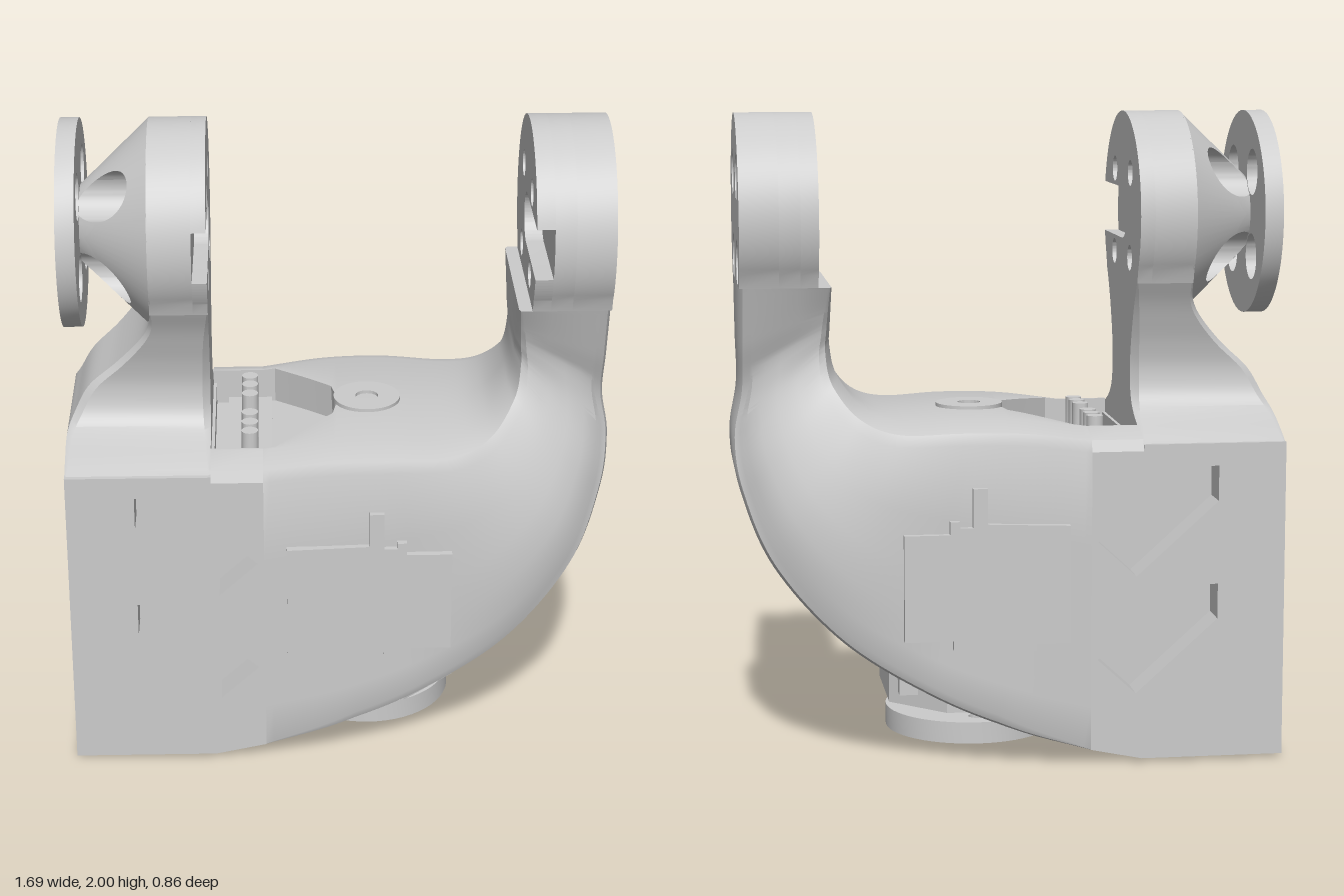
import * as THREE from 'three';
import { toCreasedNormals } from 'three/addons/utils/BufferGeometryUtils.js';

const material = new THREE.MeshStandardMaterial({ color: 0xcccccc });
const HEAD_Y = 1.68, HEAD_R = 0.32, BOLT = 0.132;

export function createModel() {
  const group = new THREE.Group();
  const add = (name, geo) => {
    const mesh = new THREE.Mesh(toCreasedNormals(geo, 0.5), material);
    mesh.name = name;
    group.add(mesh);
  };

  const poly = (pts) => new THREE.Shape(pts.map(([x, y]) => new THREE.Vector2(x, y)));
  const rect = (x0, x1, y0, y1) => poly([[x0, y0], [x1, y0], [x1, y1], [x0, y1]]);
  const circle = (x, y, r) => new THREE.Shape().absarc(x, y, r, 0, Math.PI * 2);
  const withHoles = (shape, holes) => { shape.holes.push(...holes); return shape; };
  const extrude = (shape, depth) => new THREE.ExtrudeGeometry(shape, { depth, bevelEnabled: false, curveSegments: 28 });
  // Plates facing z, x (shape drawn in z, y) and y (shape drawn in x, z)
  const plateZ = (name, s, z0, z1) => add(name, extrude(s, z1 - z0).translate(0, 0, z0));
  const plateX = (name, s, x0, x1) => add(name, extrude(s, x1 - x0).rotateY(-Math.PI / 2).translate(x1, 0, 0));
  const plateY = (name, s, y0, y1) => add(name, extrude(s, y1 - y0).rotateX(Math.PI / 2).translate(0, y1, 0));
  const box = (name, x0, x1, y0, y1, z0, z1) => add(name, new THREE.BoxGeometry(x1 - x0, y1 - y0, z1 - z0)
    .translate((x0 + x1) / 2, (y0 + y1) / 2, (z0 + z1) / 2));

  // Skin through closed rings of points, with an optional cap on the last ring
  const loft = (name, rings, cap) => {
    const n = rings[0].length, pos = rings.flat().flatMap((p) => p.toArray()), idx = [];
    for (let j = 0; j < rings.length - 1; j++) for (let i = 0; i < n; i++) {
      const k = (i + 1) % n, a = j * n + i, b = j * n + k;
      idx.push(a, b + n, b, a, a + n, b + n);
    }
    if (cap) {
      const last = rings[rings.length - 1], c = new THREE.Vector3(), o = (rings.length - 1) * n;
      last.forEach((p) => c.addScaledVector(p, 1 / n));
      pos.push(c.x, c.y, c.z);
      for (let i = 0; i < n; i++) idx.push(rings.length * n, o + (i + 1) % n, o + i);
    }
    const g = new THREE.BufferGeometry();
    g.setAttribute('position', new THREE.Float32BufferAttribute(pos, 3));
    g.setIndex(idx);
    add(name, g);
  };

  // Curved hull: matching stations (x, y, half width) on the outer and inner edge
  const curve = (pts) => new THREE.CatmullRomCurve3(pts.map((p) => new THREE.Vector3(...p)), false, 'catmullrom');
  const outer = curve([[-0.24, 0.045, 0.4], [0, 0.115, 0.41], [0.25, 0.225, 0.405], [0.52, 0.395, 0.37], [0.725, 0.62, 0.3],
    [0.82, 0.84, 0.21], [0.843, 1.0, 0.15], [0.82, 1.15, 0.16], [0.82, 1.3, 0.21], [0.82, 1.48, 0.265]]);
  const inner = curve([[-0.24, 1.045, 0.4], [-0.04, 1.07, 0.41], [0.15, 1.075, 0.41], [0.34, 1.07, 0.385], [0.45, 1.11, 0.32],
    [0.52, 1.2, 0.24], [0.54, 1.29, 0.205], [0.54, 1.35, 0.21], [0.54, 1.41, 0.232], [0.54, 1.48, 0.265]]);
  // Half widths of the lower opening and of the tray in the top
  const opening = (x) => x < -0.2 || x > 0.665 ? 0
    : x < 0.09 ? Math.sqrt(0.31 ** 2 - (x - 0.09) ** 2) : x < 0.28 ? 0.31 : 0.31 * (0.665 - x) / 0.385;
  const tray = (x) => x > -0.01 ? 0 : Math.min(0.29, 0.09 + 0.2 * (-0.01 - x) / 0.19);
  const hull = [];
  for (let j = 0; j <= 90; j++) {
    const o = outer.getPoint(j / 90), i = inner.getPoint(j / 90), c = 0.002 + 0.033 * Math.min(1, j / 12);
    const len = Math.hypot(i.x - o.x, i.y - o.y);
    // The flanks bulge near the spine; the top edges are rounded off towards the arm
    const bulge = Math.max(0, Math.sin(Math.PI * (j / 90 - 0.22) / 0.6));
    const side = (f, b) => [o.z + (i.z - o.z) * f + bulge * b, len * f];
    const k = 0.15 + 0.85 * Math.min(1, (90 - j) / 40);
    const h = Math.min(opening(o.x), o.z - c - 0.01), t = tray(i.x);
    const d = h > 0 ? 0.3 : 0, e = t > 0 ? 0.115 : 0;
    const half = [[0, d], [h, d], [h, 0], [o.z - c, 0], [o.z - c * 0.3, c * 0.3], [o.z, c],
      side(0.14, 0.025), side(0.28, 0.042), side(0.45, 0.045), side(0.65, 0.028),
      [i.z, len - 0.065 * k], [i.z - 0.015 * k, len - 0.03 * k], [i.z - 0.1 * k, len], [t, len], [t, len - e], [0, len - e]];
    const ring = [...half, ...half.slice(1, -1).reverse().map(([z, s]) => [-z, s])];
    hull.push(ring.map(([z, s]) => new THREE.Vector3(o.x + (i.x - o.x) * s / len, o.y + (i.y - o.y) * s / len, z)));
  }
  loft('curvedHull', hull, true);

  // Square end of the body: side walls with slanted slots around a core
  const slot = (dy) => poly([[-0.635, 0.93], [-0.52, 0.93], [-0.26, 0.7], [-0.38, 0.59], [-0.635, 0.82]].map(([x, y]) => [x, y + dy]));
  const wall = () => withHoles(poly([[-0.8, 0.08], [-0.4, 0.08], [-0.4, 0.012], [-0.24, 0.045], [-0.24, 0.98],
    [-0.4, 0.98], [-0.4, 1.0], [-0.8, 1.0]]), [slot(0), slot(-0.37)]);
  plateZ('leftSideWall', wall(), 0.29, 0.4);
  plateZ('rightSideWall', wall(), -0.4, -0.29);
  for (const s of [-1, 1]) plateX('trayEdge', poly([[s * 0.29, 0.98], [s * 0.4, 0.98], [s * 0.385, 1.015],
    [s * 0.3, 1.045], [s * 0.29, 1.045]]), -0.4, -0.24);
  plateZ('bodyCore', poly([[-0.8, 0.08], [-0.4, 0.08], [-0.4, 0.012], [-0.24, 0.045], [-0.24, 0.93],
    [-0.39, 0.93], [-0.39, 1.0], [-0.8, 1.0]]), -0.29, 0.29);
  plateY('floorPlate', withHoles(rect(-0.845, -0.4, -0.4, 0.4),
    [circle(-0.7, -0.29, 0.045), circle(-0.7, 0.29, 0.045)]), 0.012, 0.08);
  plateX('endFrame', withHoles(rect(-0.4, 0.4, 0.08, 1.0), [rect(-0.355, 0.355, 0.1, 0.96)]), -0.845, -0.8);
  box('endPanel', -0.835, -0.79, 0.115, 0.925, -0.335, 0.335);
  for (const s of [-1, 1]) box('endPanelTab', -0.835, -0.79, 0.9, 0.95, s * 0.25 - 0.06, s * 0.25 + 0.06);

  // Shoulder and neck of the arm at the square end: y, outer x, half width
  const shoulder = curve([[0.99, -0.845, 0.4], [1.025, -0.845, 0.34], [1.07, -0.843, 0.24], [1.12, -0.82, 0.19], [1.2, -0.775, 0.175],
    [1.28, -0.69, 0.187], [1.36, -0.62, 0.212], [1.42, -0.585, 0.235], [1.48, -0.575, 0.265]]);
  loft('shoulder', shoulder.getPoints(40).map(({ x: y, y: x, z: w }, j) => {
    const c = 0.004 + 0.02 * Math.sin(Math.PI * j / 40);
    return [[-0.4, w - c], [-0.4 - c, w], [x + c, w], [x, w - c], [x, c - w], [x + c, -w], [-0.4 - c, -w], [-0.4, c - w]]
      .map(([px, pz]) => new THREE.Vector3(px, y, pz));
  }), true);

  // Round arm heads, drawn in z, y; the inner layer has a horn slot open to the front
  const bolts = (r) => [[1, 1], [1, -1], [-1, 1], [-1, -1]].map(([a, b]) => circle(a * BOLT, HEAD_Y + b * BOLT, r));
  const head = (slotted, holeR, centre) => {
    const s = new THREE.Shape().moveTo(-0.265, 1.48).lineTo(0.265, 1.48);
    const a = Math.asin(0.08 / HEAD_R);
    s.absarc(0, HEAD_Y, HEAD_R, -Math.PI / 6, slotted ? -a : Math.PI * 7 / 6);
    if (slotted) {
      s.lineTo(0, HEAD_Y - 0.08);
      s.absarc(0, HEAD_Y, 0.08, -Math.PI / 2, Math.PI / 2, true);
      s.absarc(0, HEAD_Y, HEAD_R, a, Math.PI * 7 / 6);
    }
    return withHoles(s, [...bolts(holeR), ...(centre ? [circle(0, HEAD_Y, centre)] : [])]);
  };
  plateX('rightHeadInner', head(true, 0.04), -0.445, -0.4);
  plateX('rightHeadOuter', head(false, 0.04, 0.04), -0.576, -0.445);
  plateX('leftHeadInner', head(true, 0.042), 0.58, 0.635);
  plateX('leftHeadMiddle', head(false, 0.042), 0.635, 0.7);
  plateX('leftHeadOuter', head(false, 0.072), 0.7, 0.82);

  // Cone pierced by four bolt bores: a core inside the bores and a skirt outside them
  const BORE = 0.077, D = BOLT * Math.SQRT2, tangent = Math.asin(BORE / D), BASE = -0.572;
  const coneX = (r) => Math.max(-0.79, -0.575 - 0.215 * (HEAD_R - r) / (HEAD_R - 0.115));
  const core = [], skirt = [];
  for (let k = 0; k <= 4 * 28; k++) {
    const u = k % 28 - 14;
    // Angles crowd towards the tangents of each bore
    const delta = Math.abs(u) <= 10 ? tangent * Math.sin(u / 10 * Math.PI / 2)
      : Math.sign(u) * (tangent + (Math.PI / 4 - tangent) * (Math.abs(u) - 10) / 4);
    const angle = Math.floor(k / 28) * Math.PI / 2 + Math.PI / 4 + delta;
    const root = Math.sqrt(Math.max(0, BORE ** 2 - (D * Math.sin(delta)) ** 2));
    const near = D * Math.cos(delta) - root, far = D * Math.cos(delta) + root;
    const place = ([r, x]) => new THREE.Vector3(x, HEAD_Y - r * Math.sin(angle), r * Math.cos(angle));
    core.push([[0.06, -0.79], [Math.min(near, 0.115), -0.79], [near, coneX(near)], [near, BASE], [0.06, BASE]].map(place));
    skirt.push([[far, coneX(far)], [HEAD_R, -0.575], [HEAD_R, BASE], [far, BASE]].map(place));
  }
  loft('coneCore', core, false);
  loft('coneSkirt', skirt, false);
  plateX('flange', withHoles(circle(0, HEAD_Y, HEAD_R), [...bolts(0.072), circle(0, HEAD_Y, 0.05)]), -0.845, -0.787);

  // Raised cover panels on both sides
  const cover = () => poly([[-0.17, 0.395], [0.13, 0.395], [0.13, 0.38], [0.19, 0.38], [0.19, 0.41], [0.34, 0.41], [0.34, 0.74],
    [0.2, 0.74], [0.2, 0.78], [0.17, 0.78], [0.17, 0.76], [0.13, 0.76], [0.13, 0.88], [0.085, 0.88], [0.085, 0.77], [-0.17, 0.76]]);
  plateZ('leftCover', cover(), 0.36, 0.43);
  plateZ('rightCover', cover(), -0.43, -0.36);

  // Top: contact pins in the tray and a ring boss
  for (const s of [-1, 1]) for (const z of [0.07, 0.14, 0.205])
    add('contactPin', new THREE.CylinderGeometry(0.026, 0.026, 0.15, 16).translate(-0.28, 0.99, s * z));
  box('pinStrip', -0.35, -0.21, 0.9, 0.96, -0.265, 0.265);
  plateY('topRing', withHoles(circle(0.09, 0, 0.105), [circle(0.09, 0, 0.036)]), 1.05, 1.085);

  // Actuator and output horn in the lower opening
  box('actuatorBody', -0.05, 0.34, 0.2, 0.5, -0.25, 0.25);
  plateY('actuatorBase', poly([[-0.1, -0.2], [0.05, -0.33], [0.2, -0.33], [0.365, -0.17],
    [0.365, 0.17], [0.2, 0.33], [0.05, 0.33], [-0.1, 0.2]]), 0.16, 0.25);
  add('hornHub', new THREE.CylinderGeometry(0.12, 0.12, 0.09, 32).translate(0.09, 0.135, 0));
  const hornHoles = [[1, 0], [-1, 0], [0, 1], [0, -1]].map(([a, b]) => circle(0.09 + a * 0.19, b * 0.19, 0.026));
  plateY('horn', withHoles(circle(0.09, 0, 0.27), hornHoles), 0.042, 0.11);
  add('hornScrew', new THREE.LatheGeometry([[0, 0.012], [0.025, 0.012], [0.03, 0], [0.055, 0], [0.07, 0.012], [0.07, 0.05]]
    .map(([r, y]) => new THREE.Vector2(r, y)), 32).translate(0.09, 0, 0));

  return group;
}
